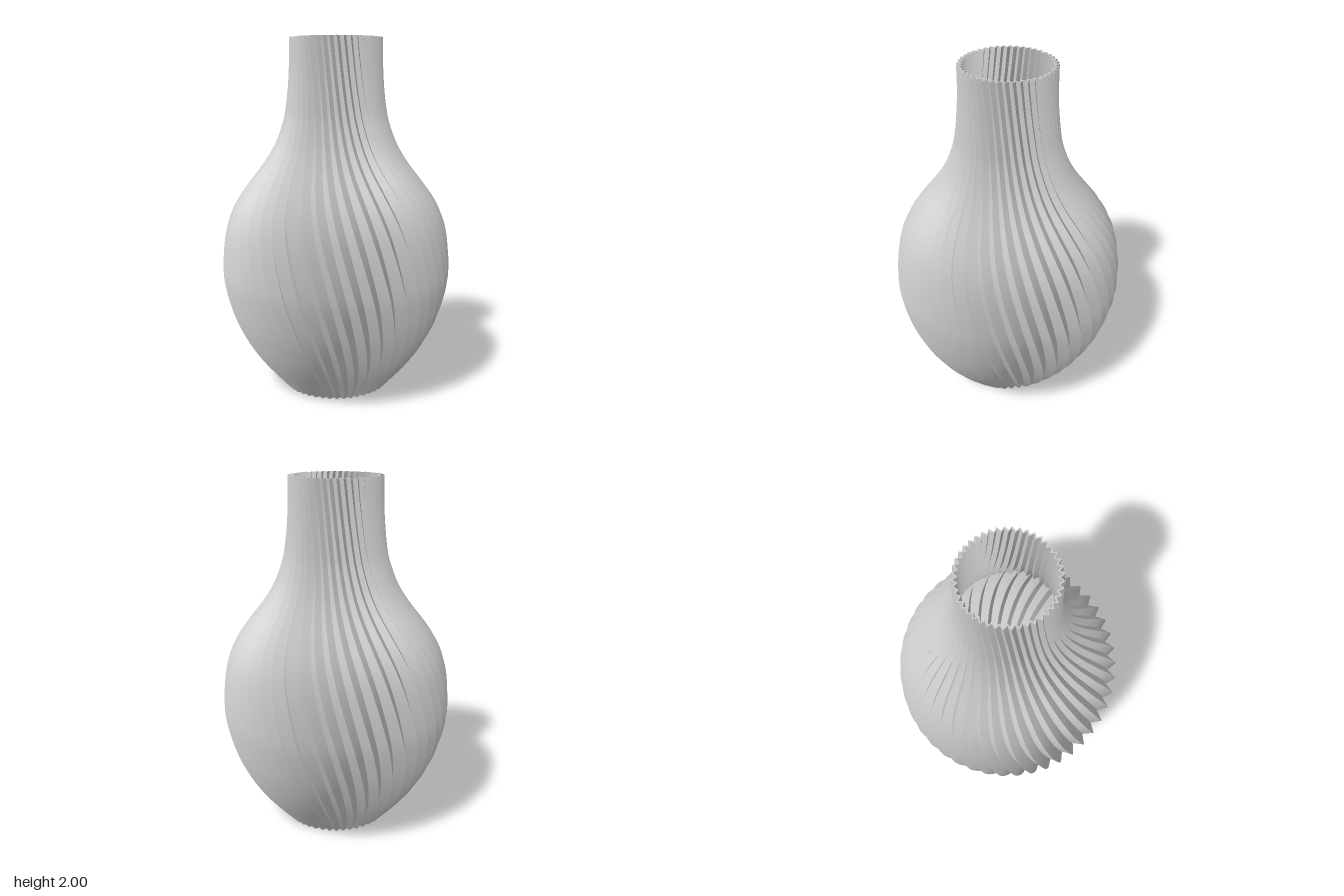
import * as THREE from 'three';

const RIBS = 44, ROWS = 64, HEIGHT = 2;
const TWIST = 0.43;      // radians per unit of height
const BELLY = 0.73;      // height of the widest ring
const GROOVE = 0.082;    // groove depth relative to the radius
const WALL = 0.011;      // wall thickness
const FLOOR = 0.02;      // height of the inner floor

// Radius of the rib crests by height
const profile = new THREE.SplineCurve([
  [0, 0.295], [0.2, 0.467], [0.4, 0.58], [0.6, 0.64], [0.73, 0.65], [0.88, 0.638],
  [1.0, 0.61], [1.1, 0.563], [1.2, 0.493], [1.3, 0.415], [1.4, 0.352], [1.5, 0.311],
  [1.6, 0.285], [1.8, 0.264], [2, 0.26],
].map(([y, r]) => new THREE.Vector2(r, y)));
const rings = profile.getPoints(ROWS * 2);

function radiusAt(y) {
  let i = 1;
  while (i < rings.length - 1 && rings[i].y < y) i++;
  const a = rings[i - 1], b = rings[i];
  return a.x + (b.x - a.x) * (y - a.y) / (b.y - a.y);
}

// Corner i of the twisted zigzag ring at height y; even corners are crests
function corner(i, y, inset) {
  const r = radiusAt(y) * (i % 2 ? 1 - GROOVE : 1) - inset;
  const a = i * Math.PI / RIBS - TWIST * (y - BELLY);
  return [r * Math.sin(a), y, r * Math.cos(a)];
}

function makeMesh(name, positions, index) {
  const geometry = new THREE.BufferGeometry();
  geometry.setAttribute('position', new THREE.Float32BufferAttribute(positions, 3));
  geometry.setIndex(index);
  geometry.computeVertexNormals();
  const mesh = new THREE.Mesh(geometry, new THREE.MeshStandardMaterial({ color: 0xcccccc }));
  mesh.name = name;
  return mesh;
}

// Pleated wall: each strip has its own vertices, so creases stay sharp
function makeWall(name, inset, yStart, inward) {
  const positions = [], index = [];
  for (let i = 0; i < RIBS * 2; i++) {
    for (let j = 0; j <= ROWS; j++) {
      const y = yStart + (HEIGHT - yStart) * j / ROWS;
      const a = positions.length / 3;
      positions.push(...corner(i, y, inset), ...corner(i + 1, y, inset));
      if (j === ROWS) continue;
      const [b, c, d] = [a + 1, a + 2, a + 3];
      if (inward) index.push(a, d, b, a, c, d);
      else index.push(a, b, d, a, d, c);
    }
  }
  return makeMesh(name, positions, index);
}

// Flat zigzag disc
function makeDisc(name, y, inset, facingUp) {
  const positions = [0, y, 0], index = [];
  const n = RIBS * 2;
  for (let i = 0; i < n; i++) {
    positions.push(...corner(i, y, inset));
    const a = i + 1, b = (i + 1) % n + 1;
    index.push(0, ...(facingUp ? [a, b] : [b, a]));
  }
  return makeMesh(name, positions, index);
}

// Flat zigzag band closing the wall at the mouth
function makeRim() {
  const positions = [], index = [];
  const n = RIBS * 2;
  for (let i = 0; i < n; i++) {
    positions.push(...corner(i, HEIGHT, 0), ...corner(i, HEIGHT, WALL));
    const a = i * 2, b = ((i + 1) % n) * 2;
    index.push(a, b, b + 1, a, b + 1, a + 1);
  }
  return makeMesh('rim', positions, index);
}

export function createModel() {
  const vase = new THREE.Group();
  vase.name = 'vase';
  vase.add(
    makeWall('outerWall', 0, 0, false),
    makeWall('innerWall', WALL, FLOOR, true),
    makeRim(),
    makeDisc('base', 0, 0, false),
    makeDisc('innerFloor', FLOOR, WALL, true),
  );
  return vase;
}
